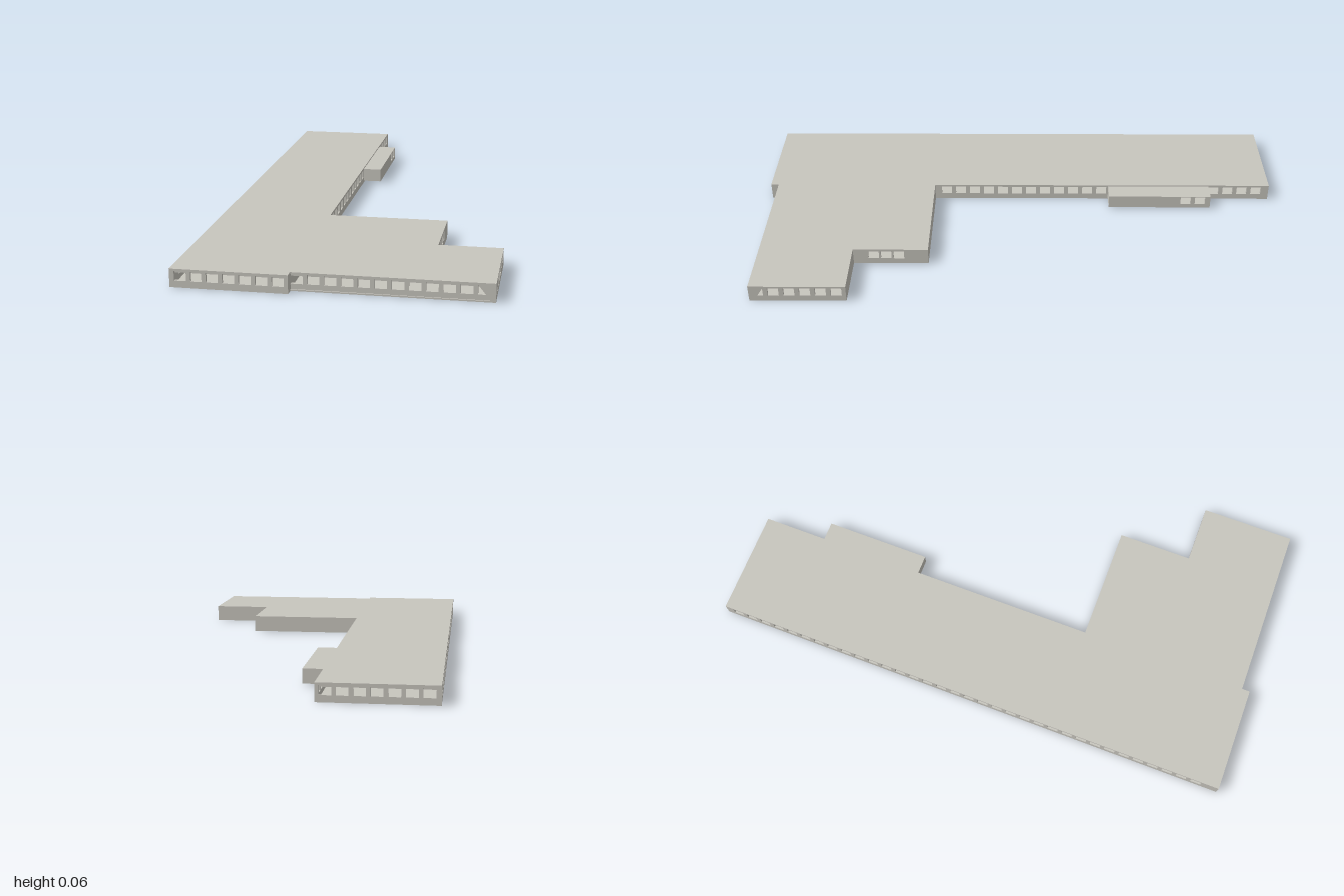
import * as THREE from 'three';

const T = 0.01;            // wall thickness
const FLOOR = 0.005, TOP = 0.063, ROOF = 0.061;
const WIN = { w: 0.04, y0: 0.023, y1: 0.055 };

// Building outline, optionally inset by i
const outline = (i) => [
  [-0.523 + i, -1 + i], [-0.13 - i, -1 + i], [-0.13 - i, 0.34 + i], [0.302 - i, 0.34 + i],
  [0.302 - i, 0.62 + i], [0.523 - i, 0.62 + i], [0.523 - i, 0.97 - i], [-0.13 - i, 0.97 - i],
  [-0.13 - i, 1 - i], [-0.523 + i, 1 - i],
];

const row = (start, step, n) => Array.from({ length: n }, (_, k) => start + step * k);

export function createModel() {
  const group = new THREE.Group();
  const concrete = new THREE.MeshStandardMaterial({ color: 0xc8c6be });
  concrete.name = 'concrete';

  const add = (name, geometry) => {
    const mesh = new THREE.Mesh(geometry, concrete);
    mesh.name = name;
    group.add(mesh);
    return mesh;
  };

  // Horizontal slab following the outline
  const slab = (name, inset, y0, y1) => {
    const shape = new THREE.Shape(outline(inset).map(([x, z]) => new THREE.Vector2(x, -z)));
    const g = new THREE.ExtrudeGeometry(shape, { depth: y1 - y0, bevelEnabled: false });
    add(name, g.rotateX(-Math.PI / 2)).position.y = y0;
  };

  // Box given by its two corners
  const box = (name, x0, x1, y0, y1, z0, z1) =>
    add(name, new THREE.BoxGeometry(x1 - x0, y1 - y0, z1 - z0))
      .position.set((x0 + x1) / 2, (y0 + y1) / 2, (z0 + z1) / 2);

  // Wall from a to b along an axis, outer face at pos, with window openings
  const wall = (name, axis, pos, out, a, b, windows = [], y0 = FLOOR, y1 = ROOF) => {
    const rect = (P, l, r, lo, hi) => new P([
      new THREE.Vector2(l, lo), new THREE.Vector2(r, lo),
      new THREE.Vector2(r, hi), new THREE.Vector2(l, hi),
    ]);
    const shape = rect(THREE.Shape, a, b, y0, y1);
    for (const c of windows) {
      shape.holes.push(rect(THREE.Path, c - WIN.w / 2, c + WIN.w / 2, WIN.y0, WIN.y1));
    }
    const g = new THREE.ExtrudeGeometry(shape, { depth: T, bevelEnabled: false });
    if (axis === 'x') g.translate(0, 0, out > 0 ? pos - T : pos);
    else g.rotateY(-Math.PI / 2).translate(out > 0 ? pos : pos + T, 0, 0);
    add(name, g);
  };

  // Slabs; the deep inner ceiling shows behind the tops of the windows
  slab('floorSlab', 0, 0, FLOOR);
  slab('innerCeiling', 0.012, 0.047, ROOF);
  slab('roofSlab', 0, ROOF, TOP);

  // Long block
  const ends = row(-0.487, 0.054, 7);
  wall('frontEndWall', 'x', 1, 1, -0.523, -0.13, ends);
  wall('backEndWall', 'x', -1, -1, -0.523, -0.13, ends);
  wall('longOuterWall', 'z', -0.523, -1, -1 + T, 1 - T, row(-0.949, 0.0565, 34));
  wall('longCourtWall', 'z', -0.13, 1, -1 + T, 0.34, row(-0.949, 0.0565, 23));
  wall('wingDividerWall', 'z', -0.13, 1, 0.34, 1 - T);

  // Stepped wing, its front wall set back behind a low sill
  wall('wingFrontWall', 'x', 0.966, 1, -0.13, 0.505, row(-0.11, 0.0542, 12));
  box('wingCornerPost', 0.505, 0.523, FLOOR, ROOF, 0.95, 0.97);
  wall('wingEndWall', 'z', 0.523, 1, 0.62 + T, 0.95, row(0.655, 0.0566, 6));
  wall('wingStepBackWall', 'x', 0.62, -1, 0.302 - T, 0.523);
  wall('wingStepSideWall', 'z', 0.302, 1, 0.34 + T, 0.62, row(0.45, 0.047, 3));
  wall('wingBackWall', 'x', 0.34, -1, -0.13, 0.302);

  // Interior partition
  box('partition', -0.31, -0.2, FLOOR, 0.047, 0.36, 0.37);

  // Low annex on the court side
  const [z0, z1, x1, lo, hi] = [-0.758, -0.355, -0.058, 0.007, 0.058];
  box('annexFloor', -0.13, x1, lo, lo + 0.003, z0, z1);
  box('annexRoof', -0.13, x1, hi - 0.002, hi, z0, z1);
  wall('annexSideWall', 'z', x1, 1, z0 + T, z1 - T, [-0.717, -0.66], lo + 0.003, hi - 0.002);
  wall('annexFrontWall', 'x', z1, 1, -0.13, x1, [], lo + 0.003, hi - 0.002);
  wall('annexBackWall', 'x', z0, -1, -0.13, x1, [], lo + 0.003, hi - 0.002);

  return group;
}
